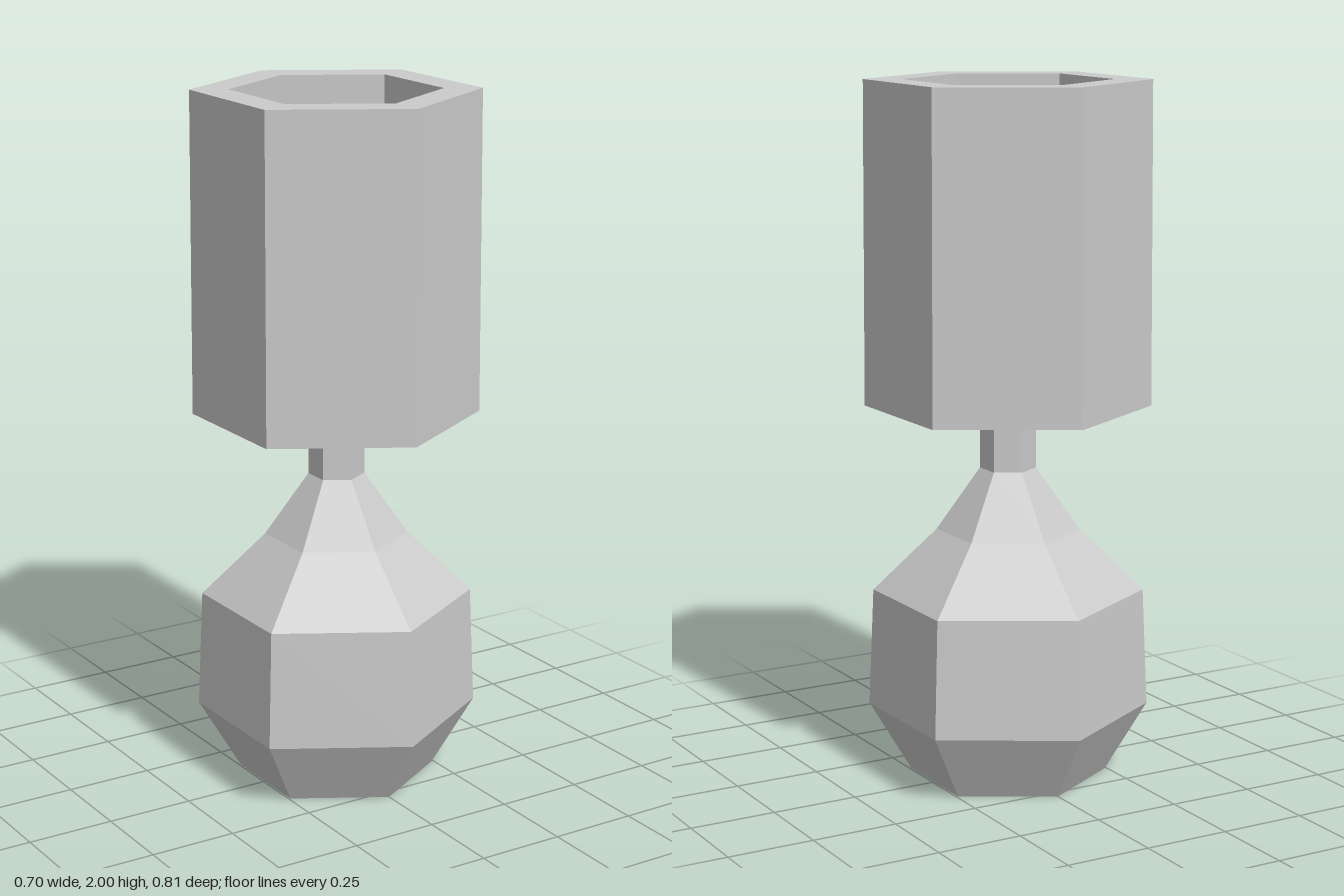
import * as THREE from 'three';

const material = new THREE.MeshStandardMaterial({ color: 0xcccccc, flatShading: true });

// Six-sided solid turned from a [radius, height] profile, corners on the z axis
function hexLathe(name, profile) {
  const points = profile.map(([r, y]) => new THREE.Vector2(r, y));
  const mesh = new THREE.Mesh(new THREE.LatheGeometry(points, 6), material);
  mesh.name = name;
  return mesh;
}

export function createModel() {
  const model = new THREE.Group();
  model.name = 'lamp';

  // Faceted bottle base with shoulders and a slim neck
  model.add(hexLathe('base', [
    [0, 0], [0.283, 0], [0.403, 0.2], [0.388, 0.54], [0.205, 0.72],
    [0.08, 0.9], [0.08, 1.12],
  ]));

  // Flared socket with a tapered bulb, hidden within the shade
  model.add(hexLathe('socketAndBulb', [
    [0, 1.1], [0.1, 1.1], [0.1, 1.15], [0.15, 1.25], [0.125, 1.27], [0.07, 1.45], [0, 1.45],
  ]));

  // Thick hollow shade, open at both ends
  model.add(hexLathe('shade', [
    [0.407, 1.08], [0.402, 2], [0.295, 2], [0.295, 1.08], [0.407, 1.08],
  ]));

  // Slanted struts carrying the shade
  for (const side of [1, -1]) {
    const strut = new THREE.Mesh(new THREE.BoxGeometry(0.3, 0.05, 0.05), material);
    strut.name = side > 0 ? 'leftStrut' : 'rightStrut';
    strut.position.set(side * 0.165, 1.285, 0);
    strut.rotation.z = side * Math.PI / 4;
    model.add(strut);
  }

  return model;
}
